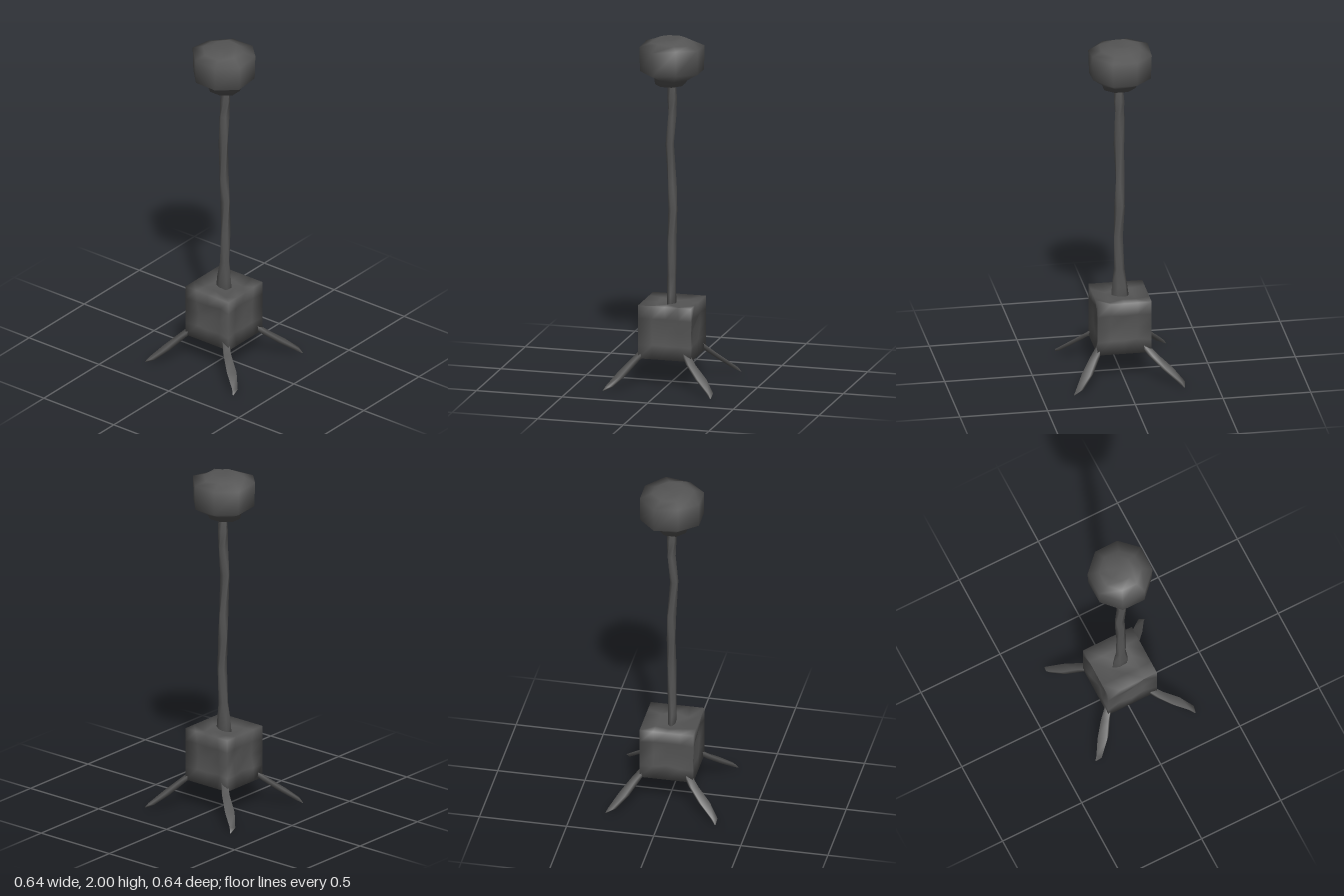
import * as THREE from 'three';
import { mergeVertices } from 'three/addons/utils/BufferGeometryUtils.js';

const darkMetal = new THREE.MeshStandardMaterial({ color: 0x555555 });
darkMetal.name = 'dark metal';

// Repeatable unevenness in the range -1..1
const wobble = (x, y, z) => Math.sin(x * 41 + y * 23 + z * 57 + 1.3) * Math.cos(x * 19 - y * 37 + z * 29);

// Closed skin over horizontal rings [y, centreX, centreZ, radiusX, radiusZ, unevenness, twist], bottom to top
function loft(rings, sides, phase, topY) {
  const pos = [], idx = [];
  rings.forEach(([y, cx, cz, rx, rz, rough = 0, twist = 0]) => {
    for (let i = 0; i < sides; i++) {
      const a = phase + twist + (i / sides) * Math.PI * 2;
      const x = cx + Math.cos(a) * rx, z = cz + Math.sin(a) * rz;
      pos.push(x, y + rough * wobble(x, 0, z), z);
    }
  });
  for (let r = 0; r < rings.length - 1; r++) {
    for (let i = 0; i < sides; i++) {
      const a = r * sides + i, b = r * sides + (i + 1) % sides;
      idx.push(a, a + sides, b, b, a + sides, b + sides);
    }
  }
  const first = rings[0], last = rings[rings.length - 1];
  const low = pos.length / 3, high = low + 1, top = (rings.length - 1) * sides;
  pos.push(first[1], first[0], first[2], last[1], topY ?? last[0], last[2]);
  for (let i = 0; i < sides; i++) {
    const j = (i + 1) % sides;
    idx.push(low, i, j, high, top + j, top + i);
  }
  const g = new THREE.BufferGeometry();
  g.setAttribute('position', new THREE.Float32BufferAttribute(pos, 3));
  g.setIndex(idx);
  g.computeVertexNormals();
  return g;
}

// Cube whose edges stay straight while its faces are beaten inward
function dentedCube(size, segments) {
  let g = new THREE.BoxGeometry(size, size, size, segments, segments, segments);
  g.deleteAttribute('normal');
  g.deleteAttribute('uv');
  g = mergeVertices(g, 1e-4);
  const p = g.attributes.position, v = new THREE.Vector3(), h = size / 2;
  for (let i = 0; i < p.count; i++) {
    v.fromBufferAttribute(p, i);
    const onFace = ['x', 'y', 'z'].filter((k) => Math.abs(Math.abs(v[k]) - h) < 1e-4);
    if (onFace.length !== 1) continue;
    const k = onFace[0];
    const depth = 0.014 + 0.014 * wobble(v.x * 2, v.y * 2, v.z * 2);
    v[k] -= Math.sign(v[k]) * depth;
    p.setXYZ(i, v.x, v.y, v.z);
  }
  g.computeVertexNormals();
  return g;
}

export function createModel() {
  const model = new THREE.Group();
  const add = (name, geometry) => {
    const mesh = new THREE.Mesh(geometry, darkMetal);
    mesh.name = name;
    model.add(mesh);
    return mesh;
  };

  // Base block
  add('base', dentedCube(0.308, 4)).position.y = 0.315;

  // Uneven stem, widened front to back where it meets the base
  add('stem', loft([
    [0.42, 0, 0, 0.024, 0.055],
    [0.51, -0.002, 0.002, 0.024, 0.046],
    [0.62, 0, 0.005, 0.025, 0.03, 0, 0.3],
    [0.82, 0.003, 0.01, 0.027, 0.028, 0, 0.8],
    [1.0, 0.006, 0.004, 0.025, 0.03, 0, 0.3],
    [1.15, 0.002, 0, 0.027, 0.027, 0, 0.9],
    [1.38, -0.012, 0.004, 0.023, 0.03, 0, 0.4],
    [1.55, 0.003, 0.002, 0.026, 0.03, 0, 1],
    [1.65, 0.003, 0.006, 0.027, 0.03, 0, 0.5],
    [1.75, 0, 0.01, 0.025, 0.027],
  ], 6, 0.3));

  // Eight-sided head with a beaten, slightly sunken top
  add('head', loft([
    [1.73, -0.008, 0.005, 0.085, 0.096],
    [1.765, 0, 0.002, 0.1, 0.105, 0.004],
    [1.81, 0, 0, 0.182, 0.178, 0.008],
    [1.95, 0, 0, 0.184, 0.183, 0.01],
    [1.975, -0.005, 0, 0.12, 0.12, 0.012],
    [1.994, 0, 0, 0.075, 0.07, 0.006],
  ], 8, Math.PI / 8, 1.978));

  // Four splayed blade legs, pointed at the foot
  const blade = loft([
    [0.0, 0.443, 0, 0.004, 0.004],
    [0.025, 0.41, -0.012, 0.022, 0.022],
    [0.085, 0.325, -0.004, 0.025, 0.038],
    [0.15, 0.235, 0.01, 0.026, 0.03],
    [0.21, 0.16, 0.012, 0.024, 0.024],
  ], 4, Math.PI / 4);
  ['frontLeftLeg', 'backLeftLeg', 'backRightLeg', 'frontRightLeg'].forEach((name, i) => {
    add(name, blade).rotation.y = -Math.PI / 4 + i * Math.PI / 2;
  });

  return model;
}
